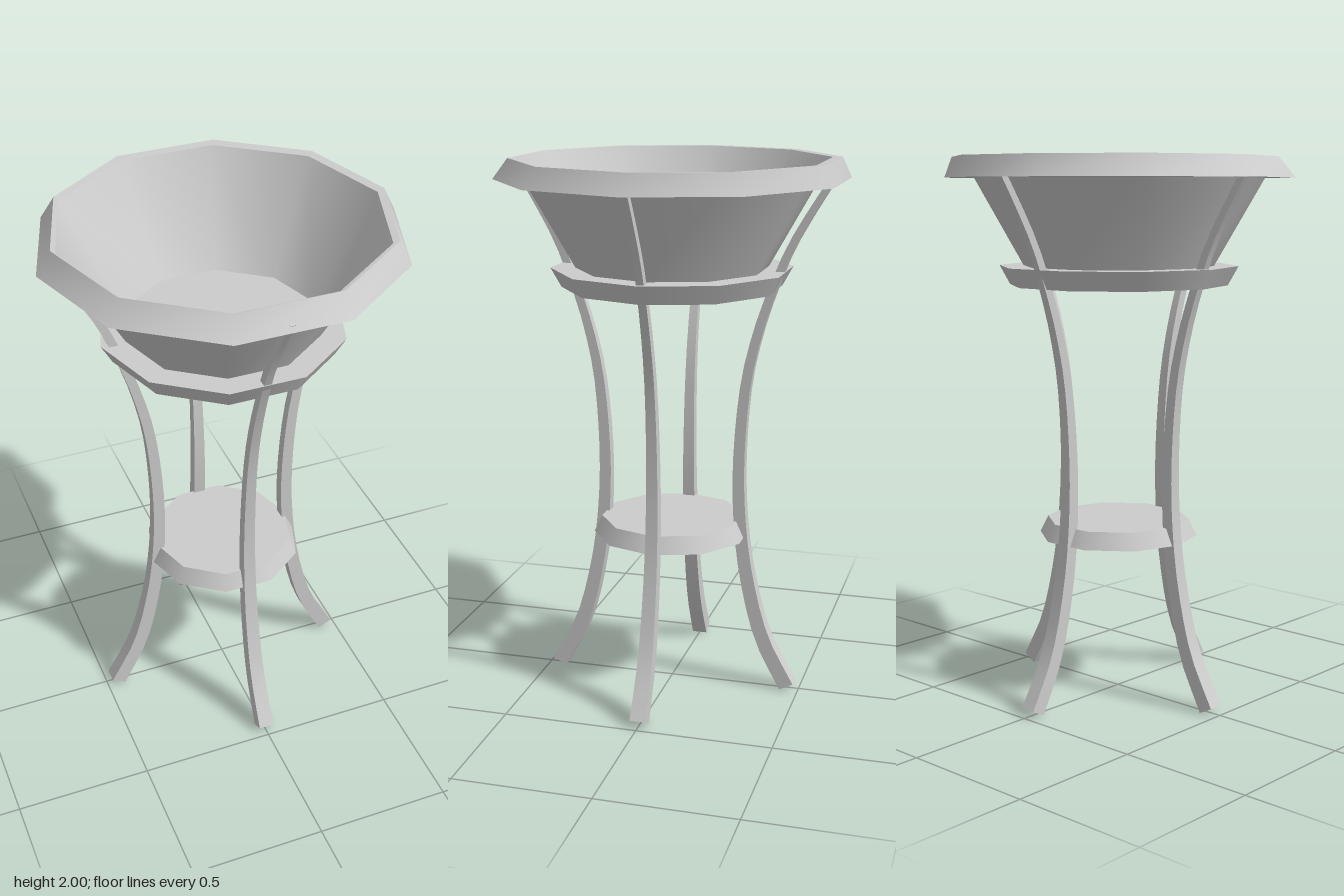
import * as THREE from 'three';
import { mergeVertices } from 'three/addons/utils/BufferGeometryUtils.js';

const SIDES = 10;

// Open decagonal band between two rings, each given as [radius, y, centreX, centreZ]
function band(top, bottom) {
  const geo = new THREE.CylinderGeometry(1, 1, 2, SIDES, 1, true, Math.PI / 2);
  const p = geo.attributes.position;
  for (let i = 0; i < p.count; i++) {
    const [r, y, cx = 0, cz = 0] = p.getY(i) > 0 ? top : bottom;
    p.setXYZ(i, p.getX(i) * r + cx, y, p.getZ(i) * r + cz);
  }
  geo.deleteAttribute('uv');
  geo.deleteAttribute('normal');
  const merged = mergeVertices(geo);
  merged.computeVertexNormals();
  return merged;
}

// Tapered square bar bent along the leg curve, in the x/y plane
function legGeometry() {
  const curve = new THREE.CatmullRomCurve3([
    [0.456, 0.016], [0.36, 0.2], [0.3, 0.42], [0.27, 0.62], [0.259, 0.87],
    [0.283, 1.2], [0.328, 1.4], [0.373, 1.535], [0.44, 1.7], [0.575, 1.93], [0.588, 1.95],
  ].map(([x, y]) => new THREE.Vector3(x, y, 0)));
  const geo = new THREE.BoxGeometry(1, 1, 1, 1, 24, 1);
  const p = geo.attributes.position;
  for (let i = 0; i < p.count; i++) {
    const t = p.getY(i) + 0.5;
    const c = curve.getPointAt(t);
    const d = curve.getTangentAt(t);
    const width = THREE.MathUtils.lerp(0.058, 0.021, t);
    const off = p.getX(i) * THREE.MathUtils.lerp(0.058, 0.024, t);
    p.setXYZ(i, c.x + d.y * off, c.y - d.x * off, p.getZ(i) * width);
  }
  geo.computeVertexNormals();
  return geo;
}

export function createModel() {
  const model = new THREE.Group();
  model.name = 'bowlStand';
  const grey = new THREE.MeshStandardMaterial({ color: 0xcccccc });
  grey.name = 'lightGrey';
  const greyThin = new THREE.MeshStandardMaterial({ color: 0xcccccc, side: THREE.DoubleSide });
  greyThin.name = 'lightGreyThin';

  const add = (name, geo, mat = grey, parent = model) => {
    const mesh = new THREE.Mesh(geo, mat);
    mesh.name = name;
    parent.add(mesh);
    return mesh;
  };
  const plate = (name, rTop, rBottom, y0, y1) => {
    const geo = new THREE.CylinderGeometry(rTop, rBottom, y1 - y0, SIDES, 1, false, Math.PI / 2);
    add(name, geo).position.y = (y0 + y1) / 2;
  };

  // Thin-walled bowl resting on the upper plate
  add('bowl', band([0.575, 1.998], [0.352, 1.607]), greyThin);

  // Bevelled rim, its upper edge set slightly off centre
  const rim = new THREE.Group();
  rim.name = 'rim';
  model.add(rim);
  const upper = [0.597, 2, 0.01, -0.016];
  const lower = [0.643, 1.925, 0, -0.002];
  add('rimSide', band(upper, lower), grey, rim);
  add('rimTop', band([0.575, 1.998], upper), grey, rim);
  add('rimUnderside', band(lower, [0.533, 1.925]), grey, rim);

  // Plate under the bowl and the low shelf between the legs
  plate('bowlPlate', 0.442, 0.403, 1.537, 1.607);
  plate('shelf', 0.266, 0.296, 0.6, 0.662);

  // Four curved legs
  const leg = legGeometry();
  for (let i = 0; i < 4; i++) add('leg', leg).rotation.y = (i * Math.PI) / 2;

  return model;
}
